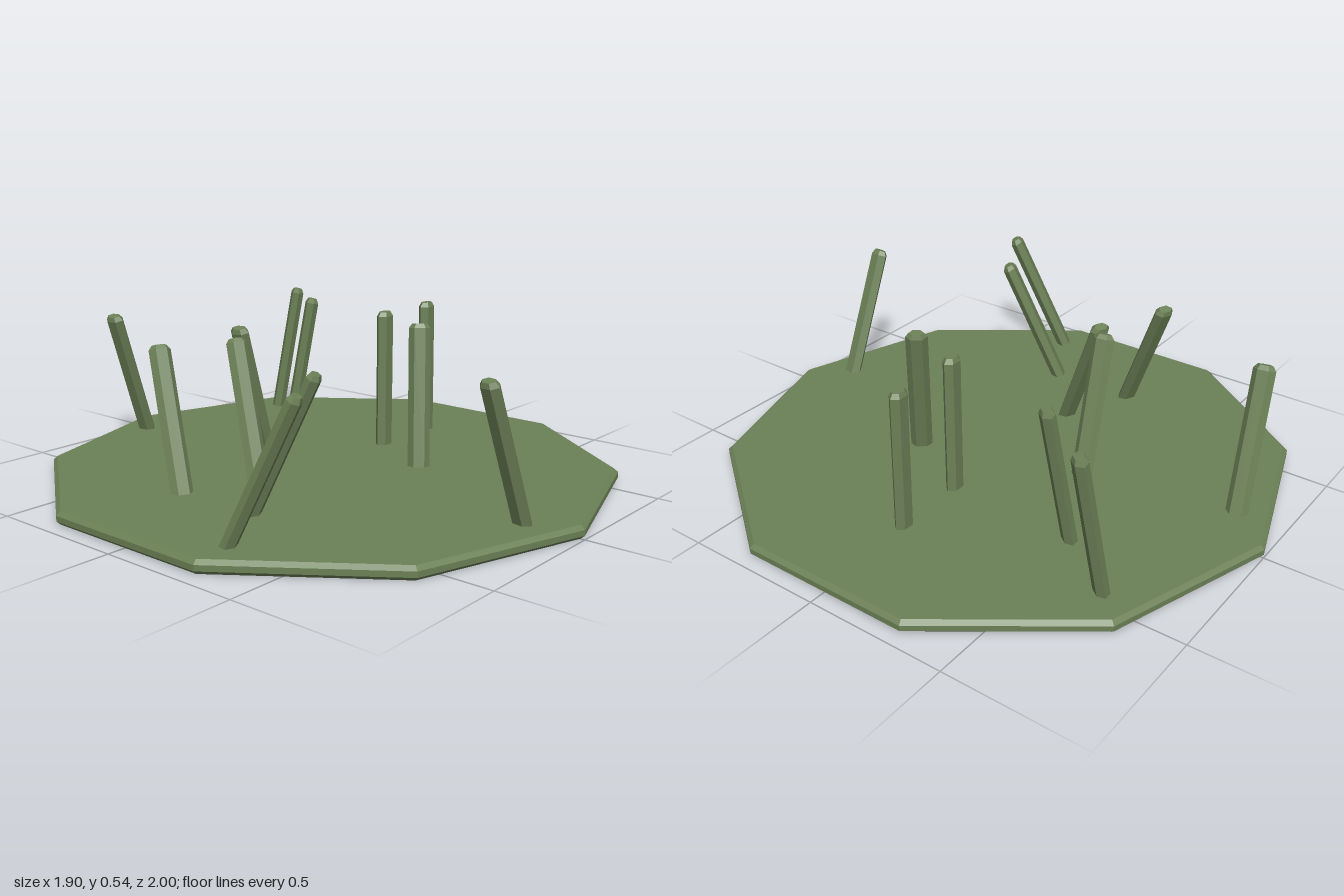
import * as THREE from 'three';

export function createModel() {
  const group = new THREE.Group();
  group.name = 'stalkPatch';
  const green = new THREE.MeshStandardMaterial({ color: 0x6b8056, flatShading: true });
  green.name = 'moss green';

  const profile = (pts) => pts.map(([r, y]) => new THREE.Vector2(r, y));

  // Ten-sided base plate with bevelled rim
  const plate = new THREE.Mesh(
    new THREE.LatheGeometry(
      profile([[0, 0], [0.985, 0], [1, 0.013], [1, 0.032], [0.985, 0.045], [0, 0.045]]), 10),
    green);
  plate.name = 'basePlate';
  group.add(plate);

  // Flattened hexagonal stalk with a bevelled tip, wide across x
  const length = 0.52;
  const stalkGeometry = new THREE.LatheGeometry(
    profile([[0, 0], [0.038, 0], [0.038, length - 0.016], [0.026, length], [0, length]]),
    6, Math.PI / 2);
  stalkGeometry.scale(1, 1, 0.66);

  // Foot x, z and tip x, z of every stalk
  const stalks = [
    [-0.81, 0.29, -0.71, 0.48],
    [-0.57, 0.155, -0.475, 0.345],
    [-0.575, -0.14, -0.485, -0.335],
    [-0.33, -0.03, -0.235, -0.225],
    [0.005, -0.315, -0.16, -0.285],
    [-0.11, -0.845, -0.28, -0.815],
    [-0.095, 0.845, -0.27, 0.815],
    [0.31, -0.005, 0.31, -0.005],
    [0.58, -0.01, 0.58, -0.015],
    [0.325, -0.485, 0.395, -0.43],
    [0.485, -0.705, 0.555, -0.65],
    [0.16, 0.265, 0.235, 0.205],
  ];
  stalks.forEach(([x0, z0, x1, z1], i) => {
    const dx = x1 - x0, dz = z1 - z0;
    const rise = Math.sqrt(length * length - dx * dx - dz * dz);
    const up = new THREE.Vector3(dx, rise, dz).normalize();
    // The wide side lies across the lean
    const wide = Math.hypot(dx, dz) < 0.02
      ? new THREE.Vector3(1, 0, 0)
      : new THREE.Vector3(dz, 0, -dx).normalize();
    const thin = new THREE.Vector3().crossVectors(wide, up).normalize();
    const stalk = new THREE.Mesh(stalkGeometry, green);
    stalk.quaternion.setFromRotationMatrix(new THREE.Matrix4().makeBasis(wide, up, thin));
    stalk.position.set(x0, 0.022, z0);
    stalk.name = `stalk${i + 1}`;
    group.add(stalk);
  });
  return group;
}
